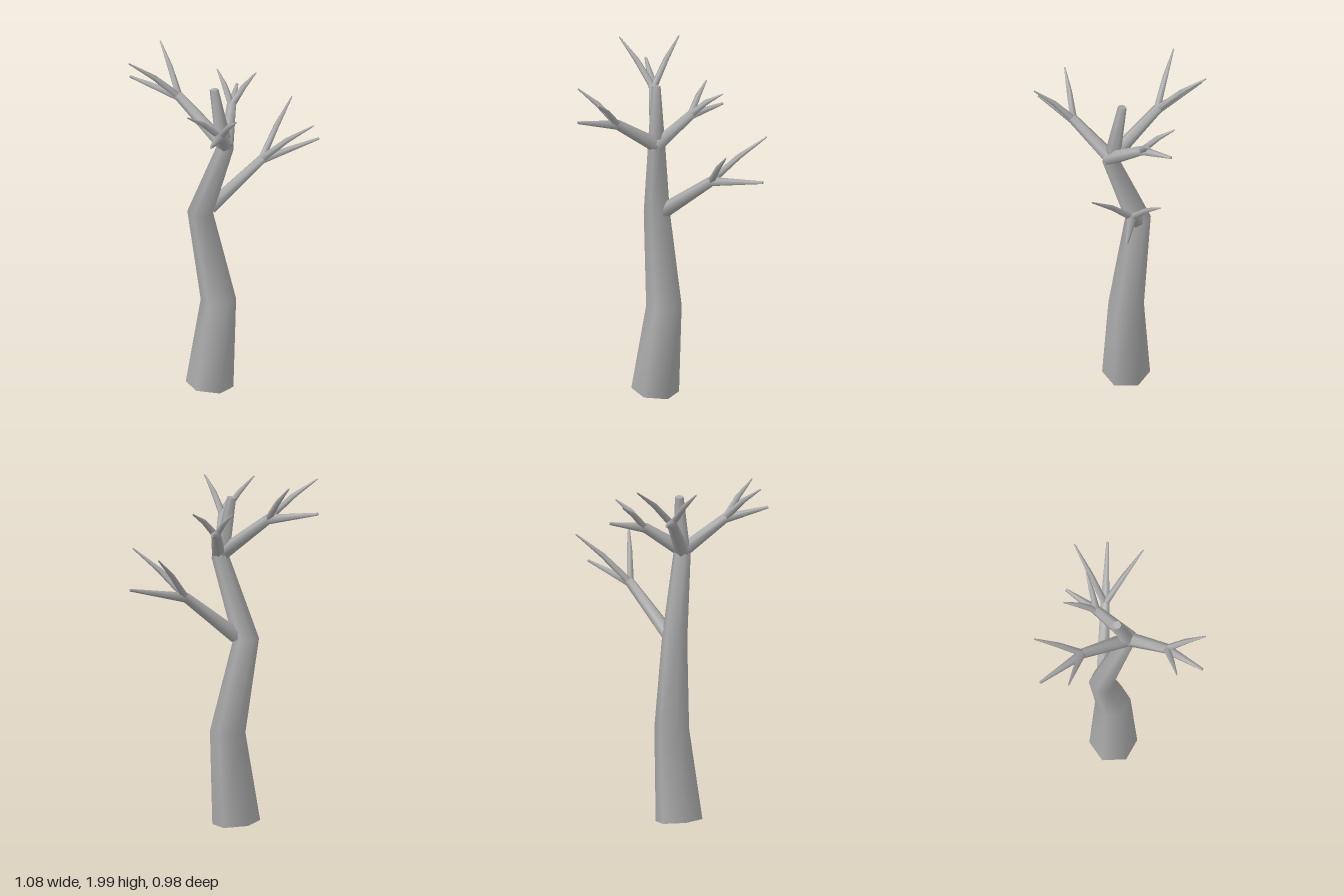
import * as THREE from 'three';

const bark = new THREE.MeshStandardMaterial({ color: 0xaaaaaa });
bark.name = 'grey bark';

// Tapered limb: one polygon ring per [x, y, z, radius], smooth sides, flat end caps.
function limb(name, rings, sides, phase = 0) {
  const pts = rings.map(([x, y, z]) => new THREE.Vector3(x, y, z));
  const last = pts.length - 1;
  const dir = (i) => pts[i + 1].clone().sub(pts[i]).normalize();
  const axis = pts[last].clone().sub(pts[0]).normalize();
  const ref = Math.abs(axis.y) > 0.85 ? new THREE.Vector3(1, 0, 0) : new THREE.Vector3(0, 1, 0);
  const pos = [], index = [];

  const addRing = (i) => {
    const t = i === 0 ? dir(0) : i === last ? dir(last - 1) : dir(i - 1).add(dir(i)).normalize();
    const u = ref.clone().addScaledVector(t, -ref.dot(t)).normalize();
    const v = t.clone().cross(u);
    const start = pos.length / 3;
    for (let s = 0; s < sides; s++) {
      const a = phase + (s / sides) * Math.PI * 2;
      const p = pts[i].clone()
        .addScaledVector(u, Math.cos(a) * rings[i][3])
        .addScaledVector(v, Math.sin(a) * rings[i][3]);
      pos.push(p.x, p.y, p.z);
    }
    return start;
  };

  // Side walls
  const starts = pts.map((_, i) => addRing(i));
  for (let i = 0; i < last; i++) {
    for (let s = 0; s < sides; s++) {
      const n = (s + 1) % sides;
      const a = starts[i] + s, b = starts[i] + n;
      const c = starts[i + 1] + n, d = starts[i + 1] + s;
      index.push(a, b, c, a, c, d);
    }
  }
  // End caps on their own vertices so the rims stay sharp
  const bottom = addRing(0), top = addRing(last);
  for (let s = 1; s < sides - 1; s++) {
    index.push(bottom, bottom + s + 1, bottom + s, top, top + s, top + s + 1);
  }

  const geo = new THREE.BufferGeometry();
  geo.setAttribute('position', new THREE.Float32BufferAttribute(pos, 3));
  geo.setIndex(index);
  geo.computeVertexNormals();
  const mesh = new THREE.Mesh(geo, bark);
  mesh.name = name;
  return mesh;
}

// Branch running straight through its fork to a long tip, plus two bent side twigs.
function branch(name, base, fork, tip, twigTips) {
  const group = new THREE.Group();
  group.name = name;
  group.add(limb('bough', [[...base, 0.042], [...fork, 0.029], [...tip, 0.008]], 6));
  for (const end of twigTips) {
    const mid = fork.map((c, k) => (c + end[k]) / 2 + (k === 1 ? 0.016 : 0));
    group.add(limb('twig', [[...fork, 0.021], [...mid, 0.016], [...end, 0.004]], 5));
  }
  return group;
}

export function createModel() {
  const tree = new THREE.Group();
  tree.name = 'bareTree';

  // Crooked trunk ending in a cut stub
  tree.add(limb('trunk', [
    [-0.085, 0.022, -0.056, 0.135],
    [-0.035, 0.545, -0.08, 0.1],
    [-0.137, 1.08, -0.105, 0.073],
    [0, 1.53, -0.003, 0.05],
    [-0.06, 1.88, -0.044, 0.025],
  ], 6, -0.08));

  tree.add(branch('lowerLeftBranch', [-0.08, 1.1, -0.12], [0.21, 1.345, -0.23],
    [0.535, 1.415, -0.35], [[0.385, 1.61, -0.49], [0.502, 1.61, -0.118]]));
  tree.add(branch('upperRightBranch', [0, 1.545, 0], [-0.255, 1.775, -0.17],
    [-0.528, 1.83, -0.317], [[-0.357, 1.998, -0.425], [-0.538, 1.998, -0.14]]));
  tree.add(branch('frontBranch', [0, 1.545, -0.01], [-0.03, 1.725, 0.245],
    [-0.085, 1.78, 0.488], [[-0.217, 1.918, 0.387], [0.058, 1.918, 0.449]]));
  tree.add(branch('backBranch', [0.01, 1.55, 0.01], [0.04, 1.695, -0.21],
    [0.075, 1.73, -0.412], [[-0.038, 1.84, -0.38], [0.18, 1.84, -0.332]]));

  return tree;
}
